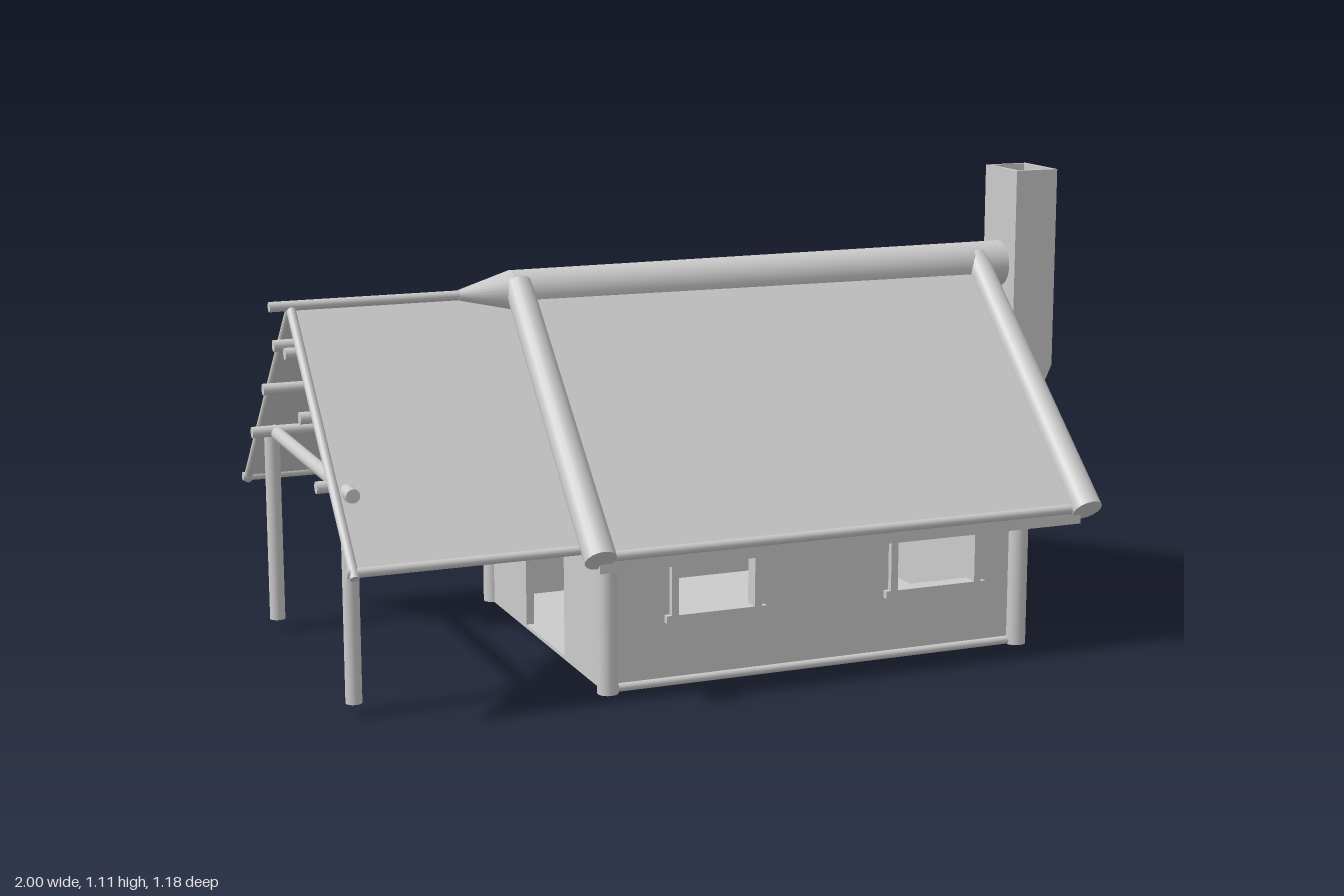
import * as THREE from 'three';

const material = new THREE.MeshStandardMaterial({ color: 0xcccccc, side: THREE.DoubleSide });

export function createModel() {
  const model = new THREE.Group();

  const add = (name, geometry, parent = model) => {
    const mesh = new THREE.Mesh(geometry, material);
    mesh.name = name;
    parent.add(mesh);
    return mesh;
  };

  const box = (name, x0, x1, y0, y1, z0, z1, parent) =>
    add(name, new THREE.BoxGeometry(x1 - x0, y1 - y0, z1 - z0), parent)
      .position.set((x0 + x1) / 2, (y0 + y1) / 2, (z0 + z1) / 2);

  // Round timber between two points, optionally tapered
  const log = (name, a, b, rA, rB = rA, sides = 16) => {
    const from = new THREE.Vector3(...a), to = new THREE.Vector3(...b);
    const dir = to.clone().sub(from);
    const mesh = add(name, new THREE.CylinderGeometry(rB, rA, dir.length(), sides));
    mesh.position.copy(from).add(to).multiplyScalar(0.5);
    mesh.quaternion.setFromUnitVectors(new THREE.Vector3(0, 1, 0), dir.normalize());
  };

  const polygon = pts => new THREE.Shape(pts.map(p => new THREE.Vector2(...p)));
  const rect = (x0, x1, y0, y1) => polygon([[x0, y0], [x1, y0], [x1, y1], [x0, y1]]);
  const extrude = (shape, depth) => new THREE.ExtrudeGeometry(shape, { depth, bevelEnabled: false });

  // Extrude a profile drawn in (z, y) along x
  const alongX = (name, shape, x0, x1) => {
    const mesh = add(name, extrude(shape, x1 - x0).rotateY(Math.PI / 2));
    mesh.position.x = x0;
    return mesh;
  };

  // Long walls with window openings and frames
  const windows = [[-0.17, 0.02], [0.39, 0.595]];
  const winLow = 0.17, winHigh = 0.305;
  for (const side of [1, -1]) {
    const wall = rect(-0.335, 0.72, 0, 0.45);
    for (const [x0, x1] of windows) wall.holes.push(rect(x0, x1, winLow, winHigh));
    const name = side > 0 ? 'frontWall' : 'backWall';
    add(name, extrude(wall, 0.02)).position.z = side > 0 ? 0.4 : -0.42;

    for (const [x0, x1] of windows) {
      const frame = new THREE.Group();
      frame.name = 'windowFrame';
      model.add(frame);
      const z0 = side > 0 ? 0.395 : -0.45, z1 = side > 0 ? 0.435 : -0.395;
      box('windowHead', x0 - 0.02, x1 + 0.02, winHigh, winHigh + 0.015, z0, z1, frame);
      box('windowSill', x0 - 0.03, x1 + 0.03, winLow - 0.018, winLow, z0, z1, frame);
      box('windowJamb', x0 - 0.018, x0, winLow, winHigh, z0, z1, frame);
      box('windowJamb', x1, x1 + 0.018, winLow, winHigh, z0, z1, frame);
    }

    // Corner posts and sill timber
    log('cornerPost', [-0.34, 0, side * 0.42], [-0.34, 0.45, side * 0.42], 0.025);
    log('cornerPost', [0.72, 0, side * 0.42], [0.72, 0.45, side * 0.42], 0.025);
    log('sillLog', [-0.335, 0.01, side * 0.42], [0.72, 0.01, side * 0.42], 0.01);
  }

  // Gable walls, with a doorway under the porch
  const gable = [[-0.42, 0], [0.42, 0], [0.42, 0.45], [0, 0.86], [-0.42, 0.45]];
  alongX('chimneyGable', polygon(gable), 0.71, 0.73);
  const doorGable = polygon(gable);
  doorGable.holes.push(rect(-0.14, 0.14, 0.01, 0.42));
  alongX('doorGable', doorGable, -0.345, -0.325);
  box('floor', -0.335, 0.72, 0, 0.01, -0.42, 0.42);

  // Pitched roofs
  const pitch = (z, eave, apex, t) => polygon(
    [[-z, eave], [-z, eave - t], [0, apex - t], [z, eave - t], [z, eave], [0, apex]]);
  alongX('mainRoof', pitch(0.55, 0.365, 0.9, 0.045), -0.405, 0.815);
  alongX('porchRoof', pitch(0.5, 0.37, 0.865, 0.012), -0.95, -0.4);

  // Ridge log tapering into the porch ridge pole
  log('ridgeLog', [-0.42, 0.867, -0.008], [0.885, 0.867, -0.005], 0.054, 0.058, 24);
  log('ridgeTaper', [-0.55, 0.87, 0], [-0.42, 0.867, -0.008], 0.013, 0.054, 24);
  log('porchRidgePole', [-1, 0.87, 0], [-0.54, 0.87, 0], 0.012);

  // Verge and eave timbers, porch rafters, purlins and posts
  for (const side of [1, -1]) {
    const z = v => side * v;
    log('vergeLog', [-0.408, 0.355, z(0.563)], [-0.408, 0.89, z(0.015)], 0.037, 0.033);
    log('vergeLog', [0.825, 0.355, z(0.563)], [0.808, 0.89, z(0.015)], 0.037, 0.03);
    log('eaveLog', [-0.4, 0.357, z(0.545)], [0.81, 0.357, z(0.545)], 0.012);
    log('porchEavePole', [-0.965, 0.365, z(0.497)], [-0.41, 0.365, z(0.497)], 0.011);
    log('porchRafter', [-0.95, 0.355, z(0.51)], [-0.95, 0.865, 0], 0.011);
    for (const [pz, py] of [[0.055, 0.77], [0.178, 0.645], [0.31, 0.515]])
      log('porchPurlin', [-0.98, py, z(pz)], [-0.34, py, z(pz)], 0.014);
    log('porchPost', [-0.92, 0.03, z(0.36)], [-0.92, 0.51, z(0.36)], 0.019);
  }
  log('porchTieBeam', [-0.92, 0.51, -0.4], [-0.92, 0.51, 0.4], 0.016);

  // Chimney: leaning stack topped by a hollow flue
  const stack = polygon([[0.72, 0], [0.88, 0], [0.88, 0.35], [1, 0.61], [1, 0.74], [0.72, 0.74]]);
  add('chimneyStack', extrude(stack, 0.16)).position.z = -0.08;
  const flue = rect(0.885, 1, -0.08, 0.08);
  flue.holes.push(rect(0.895, 0.99, -0.07, 0.07));
  add('chimneyFlue', extrude(flue, 0.37).rotateX(-Math.PI / 2)).position.y = 0.74;

  return model;
}
